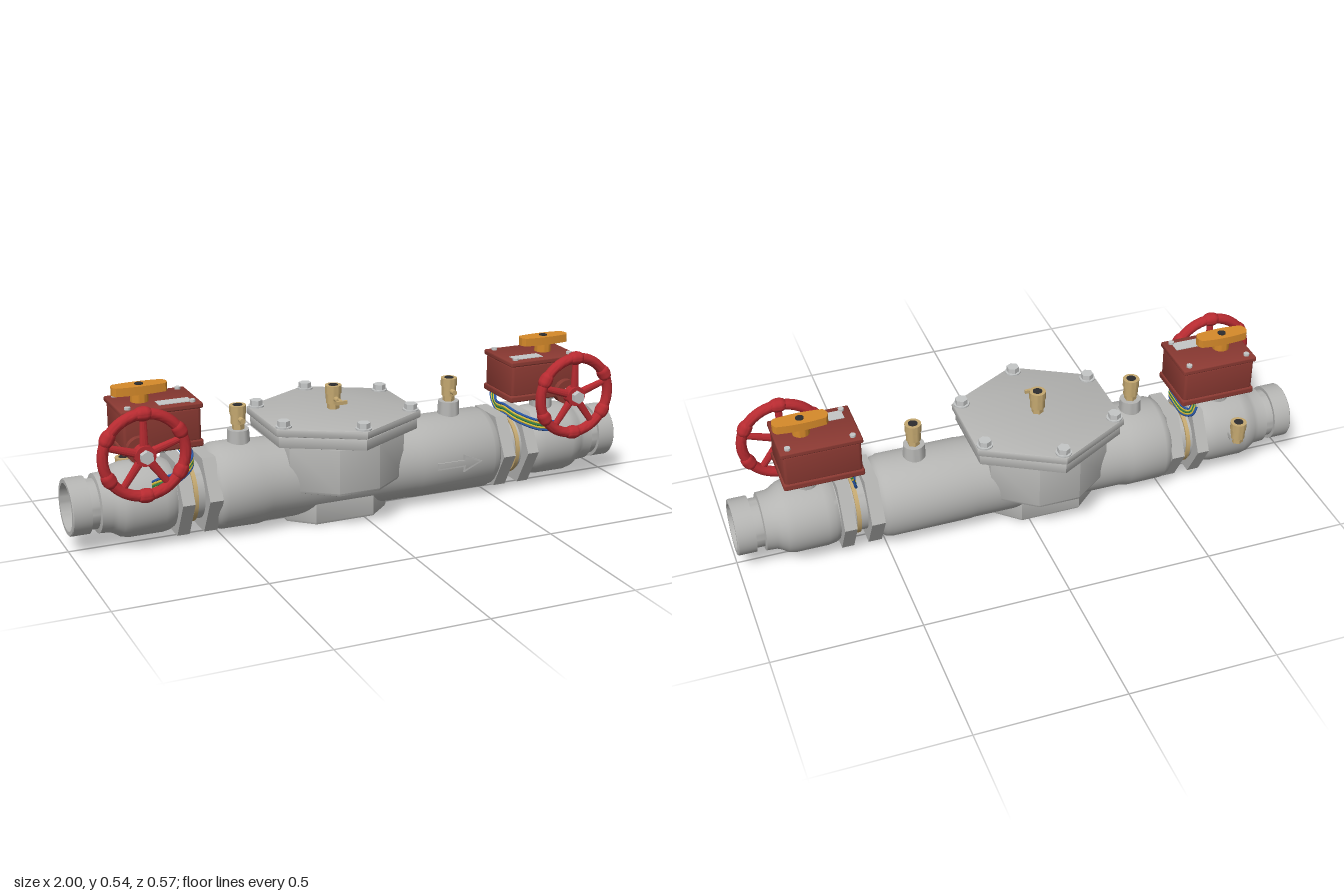
import * as THREE from 'three';
import { toCreasedNormals } from 'three/addons/utils/BufferGeometryUtils.js';
import { RoundedBoxGeometry } from 'three/addons/geometries/RoundedBoxGeometry.js';

const AXIS_Y = 0.153;
const mat = (name, color) => new THREE.MeshStandardMaterial({ name, color });

export function createModel() {
  const model = new THREE.Group();
  model.name = 'doubleCheckValveAssembly';
  const M = {
    castGrey: mat('castGrey', 0xb5b5b3),
    steel: mat('steel', 0xc4c6c6),
    brick: mat('brickRed', 0x8a3932),
    red: mat('wheelRed', 0xb82b31),
    orange: mat('orange', 0xd68a2a),
    brass: mat('brass', 0xc4a870),
    dark: mat('dark', 0x2c2c2e),
    blue: mat('wireBlue', 0x2a58a8),
    yellow: mat('wireYellow', 0xd6bd3c),
    green: mat('wireGreen', 0x2f8048),
  };

  const add = (parent, name, geo, material, x = 0, y = 0, z = 0) => {
    const mesh = new THREE.Mesh(toCreasedNormals(geo, 0.65), material);
    mesh.name = name;
    mesh.position.set(x, y, z);
    parent.add(mesh);
    return mesh;
  };
  const group = (parent, name, x = 0, y = 0, z = 0) => {
    const g = new THREE.Group();
    g.name = name;
    g.position.set(x, y, z);
    parent.add(g);
    return g;
  };
  const cyl = (r, h, sides = 28, r2 = r) => new THREE.CylinderGeometry(r2, r, h, sides);
  // Profile of [along x, radius], turned around the pipe axis
  const turned = (pts) => new THREE.LatheGeometry(
    pts.map(([x, r]) => new THREE.Vector2(r, x)), 56).rotateZ(-Math.PI / 2);
  // Plan outline [x, z] raised from y0 to y1 with a rounded edge
  const prism = (pts, y0, y1, b) => {
    const shape = new THREE.Shape(pts.map(([x, z]) => new THREE.Vector2(x, z)));
    const geo = new THREE.ExtrudeGeometry(shape, {
      depth: y1 - y0 - 2 * b, bevelEnabled: true, bevelSize: b, bevelThickness: b,
      bevelOffset: -b, bevelSegments: 2,
    });
    return geo.rotateX(-Math.PI / 2).translate(0, y0 + b, 0);
  };
  // Six or eight cornered plan, symmetric about x = cx and z = 0
  const plan = (cx, sideX, sideZ, endX, endZ) => {
    const q = endX > 0 ? [[endX, endZ], [-endX, endZ]] : [[0, endZ]];
    const right = [[sideX, -sideZ], [sideX, sideZ]];
    const pts = [...right, ...q, [-sideX, sideZ], [-sideX, -sideZ],
      ...q.map(([x, z]) => [-x, -z])];
    return pts.map(([x, z]) => [x + cx, z]);
  };

  // Main check valve body
  add(model, 'mainBody', turned([
    [-0.525, 0], [-0.525, 0.125], [-0.515, 0.138], [-0.495, 0.146], [-0.37, 0.147], [-0.34, 0.141],
    [0.19, 0.14], [0.21, 0.142], [0.485, 0.142], [0.49, 0.139], [0.505, 0.136], [0.518, 0.122], [0.518, 0],
  ]), M.castGrey, 0, AXIS_Y);
  const CX = -0.068;
  add(model, 'accessChamber', prism(plan(CX, 0.208, 0.12, 0.072, 0.222), 0.13, 0.305, 0.012), M.castGrey);
  add(model, 'bottomBoss', prism(plan(CX - 0.008, 0.185, 0.045, 0.105, 0.118), 0, 0.12, 0.012), M.castGrey);
  add(model, 'chamberFlange', prism(plan(CX, 0.25, 0.133, 0, 0.275), 0.3, 0.336, 0.002), M.castGrey);
  add(model, 'coverPlate', prism(plan(CX, 0.26, 0.14, 0, 0.284), 0.34, 0.367, 0.005), M.castGrey);
  add(model, 'coverGasket', prism(plan(CX, 0.245, 0.13, 0, 0.27), 0.335, 0.341, 0.001), M.castGrey);

  // Cover bolts
  for (const [x, z] of [[0, 0.25], [0.23, 0.125], [-0.23, 0.125]]) {
    for (const s of [1, -1]) {
      const bolt = group(model, 'coverBolt', CX + x, 0.367, s * z);
      add(bolt, 'washer', cyl(0.027, 0.006), M.steel, 0, 0.002);
      add(bolt, 'boltHead', cyl(0.022, 0.02, 6), M.steel, 0, 0.013);
    }
  }

  // Raised flow arrow, as a thin outline
  const arrow = (k) => [[0.26, k * 0.012], [0.36, k * 0.012], [0.36, k * 0.032], [0.432 - 0.006 * (1 - k), 0],
    [0.36, -k * 0.032], [0.36, -k * 0.012], [0.26, -k * 0.012]].map(([x, y]) => new THREE.Vector2(x, y));
  const arrowShape = new THREE.Shape(arrow(1));
  const inner = [[0.265, 0.007], [0.366, 0.007], [0.366, 0.022], [0.418, 0], [0.366, -0.022],
    [0.366, -0.007], [0.265, -0.007]].map(([x, y]) => new THREE.Vector2(x, y));
  arrowShape.holes.push(new THREE.Path(inner));
  add(model, 'flowArrow', new THREE.ExtrudeGeometry(arrowShape, { depth: 0.009, bevelEnabled: false }),
    M.castGrey, 0, AXIS_Y, 0.137);

  // Small brass test cocks
  const testCock = (x, y, z, lever) => {
    const g = group(model, 'testCock', x, y, z);
    add(g, 'cockBase', cyl(0.021, 0.022, 6), M.brass, 0, 0.011);
    add(g, 'cockBody', cyl(0.025, 0.035), M.brass, 0, 0.037);
    add(g, 'cockCollar', cyl(0.028, 0.028, 28), M.brass, 0, 0.068);
    add(g, 'cockOpening', cyl(0.016, 0.004, 20), M.dark, 0, 0.0815);
    add(g, 'cockStem', cyl(0.009, 0.03, 14).rotateX(Math.PI / 2), M.brass, 0, 0.038, 0.032);
    if (lever) {
      add(g, 'cockLever', new THREE.BoxGeometry(0.012, 0.012, 0.05), M.brass, 0, 0.038, 0.05);
      add(g, 'cockTee', new THREE.BoxGeometry(0.04, 0.012, 0.009), M.brass, 0, 0.038, 0.07);
    }
  };
  for (const x of [-0.41, 0.37]) {
    add(model, 'testCockBoss', cyl(0.04, 0.07, 28, 0.036), M.castGrey, x, 0.305);
    testCock(x, 0.34, 0, false);
  }
  testCock(CX, 0.367, 0, true);
  add(model, 'sideCockBoss', cyl(0.028, 0.06).rotateX(Math.PI / 2), M.castGrey, -0.765, 0.185, -0.11);
  testCock(-0.765, 0.165, -0.14, false);

  // Geared shutoff valve at each end
  for (const s of [1, -1]) {
    const valve = group(model, s > 0 ? 'leftShutoffValve' : 'rightShutoffValve');
    const body = add(valve, 'valveBody', turned([
      [0.5, 0.098], [0.66, 0.1], [0.66, 0.113], [0.675, 0.121], [0.7, 0.125], [0.81, 0.125], [0.835, 0.119],
      [0.855, 0.106], [0.87, 0.1], [0.905, 0.098], [0.908, 0.083], [0.937, 0.083], [0.937, 0.095],
      [0.997, 0.095], [1, 0.092], [1, 0.079], [0.86, 0.077], [0.86, 0],
    ]), M.castGrey, 0, AXIS_Y);
    if (s < 0) body.rotation.y = Math.PI;
    for (const [x, w] of [[0.54, 0.046], [0.634, 0.042]]) {
      add(valve, 'hexNut', cyl(0.147, w, 6).rotateZ(Math.PI / 2), M.castGrey, s * x, AXIS_Y);
    }
    add(valve, 'unionRing', cyl(0.106, 0.014, 48).rotateZ(Math.PI / 2), M.brass, s * 0.595, AXIS_Y);

    // Neck and gear housing
    const stemX = s * 0.742, boxX = s * 0.697;
    add(valve, 'neck', cyl(0.04, 0.09), M.castGrey, stemX, 0.28);
    add(valve, 'neckFlange', new RoundedBoxGeometry(0.13, 0.016, 0.13, 2, 0.006), M.castGrey, stemX, 0.322);
    add(valve, 'housingBase', new RoundedBoxGeometry(0.27, 0.024, 0.2, 2, 0.007), M.brick, boxX, 0.342);
    add(valve, 'housing', new RoundedBoxGeometry(0.26, 0.12, 0.19, 2, 0.012), M.brick, boxX, 0.405);
    add(valve, 'housingLid', new RoundedBoxGeometry(0.272, 0.019, 0.2, 2, 0.006), M.brick, boxX, 0.468);
    for (const dx of [-0.107, 0.107]) for (const z of [-0.076, 0.076]) {
      add(valve, 'lidScrew', cyl(0.01, 0.009, 12), M.steel, boxX + dx, 0.481, z);
    }
    add(valve, 'namePlate', new THREE.BoxGeometry(0.11, 0.003, 0.045), M.steel, s * 0.645, 0.478, 0.052);

    // Orange position indicator
    const bar = new THREE.Shape();
    bar.moveTo(-0.082, -0.024);
    bar.quadraticCurveTo(0, -0.038, 0.082, -0.024);
    bar.quadraticCurveTo(0.102, 0, 0.082, 0.024);
    bar.quadraticCurveTo(0, 0.038, -0.082, 0.024);
    bar.quadraticCurveTo(-0.102, 0, -0.082, -0.024);
    add(valve, 'indicatorHub', cyl(0.029, 0.035), M.orange, stemX, 0.491);
    add(valve, 'indicatorBar', new THREE.ExtrudeGeometry(bar, { depth: 0.028, bevelEnabled: false })
      .rotateX(-Math.PI / 2), M.orange, stemX, 0.506);
    add(valve, 'indicatorCap', cyl(0.014, 0.004, 16), M.dark, stemX, 0.535);

    // Handwheel with gripping lobes
    const wheel = group(valve, 'handwheel', s * 0.78, 0.351, 0.162);
    const R = 0.135;
    add(wheel, 'inputBoss', cyl(0.043, 0.03).rotateX(Math.PI / 2), M.brick, 0, 0, -0.06);
    add(wheel, 'shaft', cyl(0.016, 0.09).rotateX(Math.PI / 2), M.steel, 0, 0, -0.025);
    add(wheel, 'rim', new THREE.TorusGeometry(R, 0.018, 14, 60), M.red);
    for (let i = 0; i < 6; i++) {
      const a = Math.PI / 2 + i * Math.PI / 3;
      const lobe = add(wheel, 'rimLobe', new THREE.SphereGeometry(1, 18, 12).scale(0.024, 0.034, 0.024),
        M.red, R * Math.cos(a), R * Math.sin(a));
      lobe.rotation.z = a;
    }
    for (let i = 0; i < 5; i++) {
      const a = i * Math.PI * 2 / 5;
      const spoke = add(wheel, 'spoke', cyl(0.015, R, 12, 0.011).scale(1, 1, 0.8).translate(0, R / 2, 0), M.red);
      spoke.rotation.z = a;
    }
    add(wheel, 'hub', cyl(0.034, 0.034).rotateX(Math.PI / 2), M.red);
    add(wheel, 'hubNut', cyl(0.022, 0.02, 6).rotateX(Math.PI / 2), M.steel, 0, 0, 0.026);

    // Switch wires looping round the neck
    [M.blue, M.yellow, M.green, M.yellow, M.blue].forEach((m, i) => {
      const o = (i - 2) * 0.008;
      const path = new THREE.CatmullRomCurve3([
        [0.61, 0.335, -0.1 + o], [0.6, 0.3, -0.095 + o], [0.59, 0.277 + o, -0.045], [0.585, 0.285 + o, 0.02],
        [0.6, 0.272 + o, 0.08], [0.66, 0.247 + o, 0.12], [0.73, 0.235 + o, 0.128], [0.74, 0.22 + o, 0.105],
      ].map(([x, y, z]) => new THREE.Vector3(s * x, y, z)));
      add(valve, 'wire', new THREE.TubeGeometry(path, 36, 0.0045, 7), m);
    });
  }
  return model;
}
